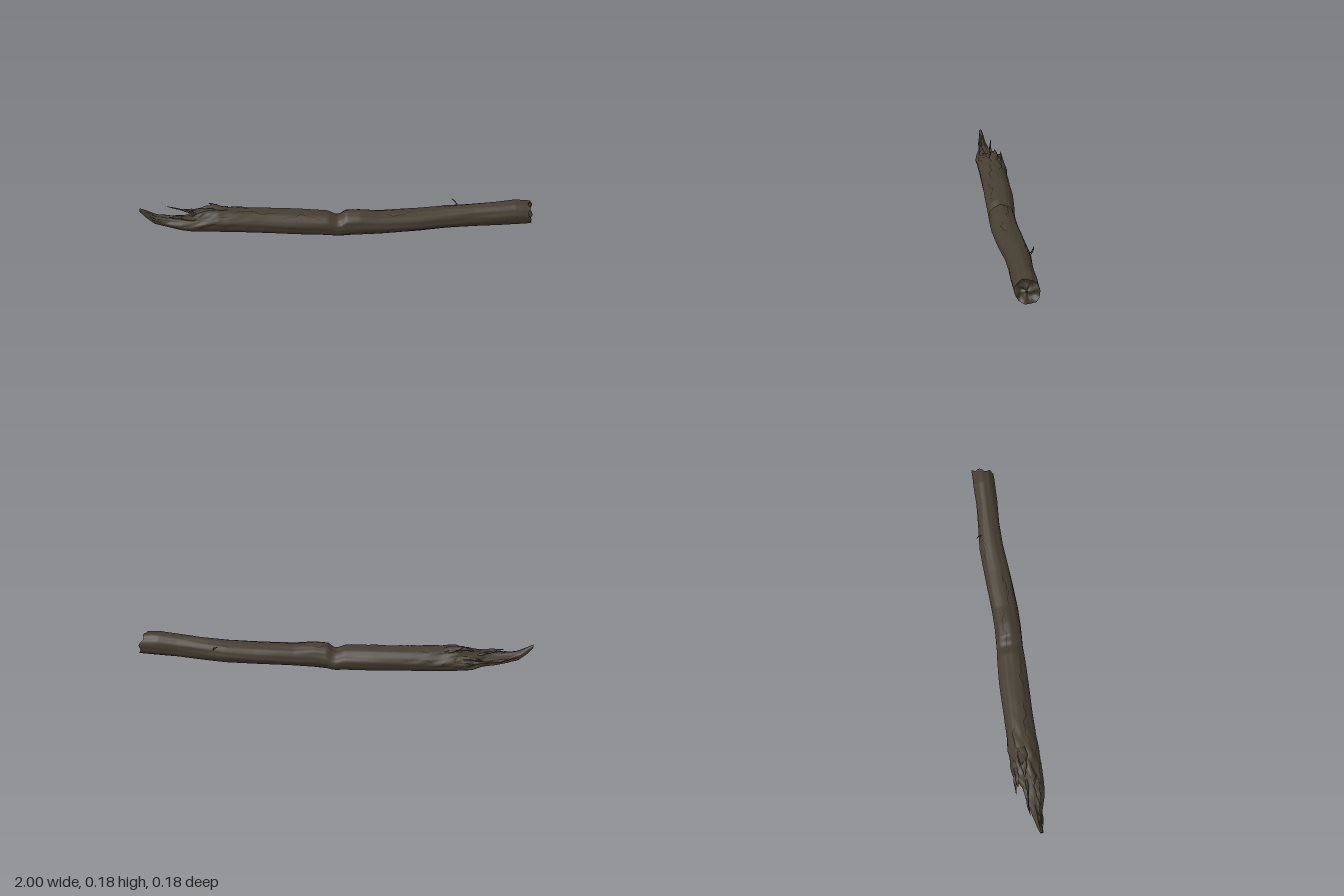
import * as THREE from 'three';

// Log profile: x, bottom y, top y, back z, front z
const PROFILE = [
  [-1.0, 0.172, 0.19, -0.004, 0.012], [-0.97, 0.135, 0.175, -0.012, 0.014], [-0.93, 0.1, 0.15, -0.018, 0.02],
  [-0.87, 0.083, 0.138, -0.028, 0.03], [-0.8, 0.068, 0.135, -0.04, 0.052], [-0.74, 0.058, 0.137, -0.05, 0.06],
  [-0.69, 0.05, 0.152, -0.082, 0.061], [-0.62, 0.044, 0.165, -0.088, 0.063], [-0.5, 0.037, 0.157, -0.085, 0.064],
  [-0.36, 0.028, 0.148, -0.08, 0.066], [-0.2, 0.017, 0.142, -0.075, 0.071], [-0.06, 0.01, 0.134, -0.064, 0.076],
  [-0.015, 0.006, 0.112, -0.059, 0.077], [0.005, 0.006, 0.115, -0.058, 0.078], [0.03, 0.009, 0.138, -0.056, 0.08],
  [0.1, 0.013, 0.14, -0.052, 0.084], [0.2, 0.016, 0.127, -0.051, 0.085], [0.4, 0.02, 0.13, -0.055, 0.076],
  [0.55, 0.026, 0.137, -0.06, 0.065], [0.68, 0.031, 0.145, -0.05, 0.065], [0.8, 0.035, 0.155, -0.041, 0.073],
  [0.9, 0.038, 0.166, -0.039, 0.075], [0.96, 0.04, 0.164, -0.036, 0.076], [1.0, 0.042, 0.16, -0.036, 0.076],
];

function sample(x) {
  let i = 0;
  while (i < PROFILE.length - 2 && PROFILE[i + 1][0] < x) i++;
  const p = PROFILE[i], q = PROFILE[i + 1];
  const t = THREE.MathUtils.clamp((x - p[0]) / (q[0] - p[0]), 0, 1);
  return p.map((v, k) => v + (q[k] - v) * t);
}

// Point on the bark; angle 0 is the top, a quarter turn is the front
function barkPoint(x, a, grow = 0) {
  const decay = THREE.MathUtils.smoothstep(-x, 0.3, 0.75) * THREE.MathUtils.smoothstep(x, -1, -0.85);
  const upper = 0.5 + 0.5 * Math.cos(a + 0.4);
  const ragged = decay * upper * 0.025 * Math.sin(5 * a + 1.3 * Math.sin(3 * a));
  const [, y0, y1, z0, z1] = sample(x + ragged);
  const grain = 0.018 * Math.sin(7 * a + 3 * x + Math.sin(9 * x)) + 0.012 * Math.sin(13 * a - 5 * x);
  const rot = decay * upper * (0.07 * Math.sin(9 * a + 14 * x) * Math.sin(31 * x + 2 * a) + 0.04 * Math.sin(53 * x + 5 * a));
  const lumps = 0.025 * Math.sin(11 * x + 2 * a) * upper;
  const r = 0.985 + grain + rot + lumps;
  const y = (y0 + y1) / 2 + Math.cos(a) * ((y1 - y0) / 2 * r + grow);
  const z = (z0 + z1) / 2 + Math.sin(a) * ((z1 - z0) / 2 * r + grow);
  // The broken right end slants, reaching furthest at the low back
  const end = THREE.MathUtils.smoothstep(x, 0.85, 1);
  const cut = 0.022 + 0.25 * (z + 0.036) + 0.2 * Math.max(0, y - 0.08) + 0.006 * Math.sin(6 * a);
  return new THREE.Vector3(x - end * cut + end * 0.018, y, z);
}

// Skin a grid of points, rows along the length and columns around
function grid(rows, cols, fn) {
  const pos = [], idx = [];
  for (let i = 0; i <= rows; i++) {
    for (let j = 0; j < cols; j++) pos.push(...fn(i / rows, j / cols * Math.PI * 2).toArray());
  }
  for (let i = 0; i < rows; i++) {
    for (let j = 0; j < cols; j++) {
      const a = i * cols + j, b = i * cols + (j + 1) % cols;
      idx.push(a, b, a + cols, b, b + cols, a + cols);
    }
  }
  const g = new THREE.BufferGeometry();
  g.setAttribute('position', new THREE.Float32BufferAttribute(pos, 3));
  g.setIndex(idx);
  g.computeVertexNormals();
  return g;
}

// Flattened tapering splinter following a few points
function splinter(points, width, thick) {
  const curve = new THREE.CatmullRomCurve3(points.map((p) => new THREE.Vector3(...p)));
  return grid(12, 8, (t, a) => {
    const c = curve.getPoint(t);
    const s = (1 - t) ** 0.6 * (1 + 0.2 * Math.sin(17 * t + 2 * a));
    // all splinters run towards -x, so the turn is reversed
    c.y += Math.cos(a) * thick * s;
    c.z -= Math.sin(a) * width * s;
    return c;
  });
}

// Thin wavy crack laid on the bark
function crack(x0, x1, angle, width) {
  const pos = [], idx = [], n = 24;
  for (let i = 0; i <= n; i++) {
    const t = i / n, x = x0 + (x1 - x0) * t;
    const a = angle + 0.12 * Math.sin(9 * t + 20 * x0) + 0.06 * Math.sin(23 * t);
    const w = width * Math.sin(Math.PI * t) + 0.005;
    pos.push(...barkPoint(x, a - w, 0.0015).toArray(), ...barkPoint(x, a + w, 0.0015).toArray());
    if (i < n) idx.push(2 * i, 2 * i + 1, 2 * i + 2, 2 * i + 1, 2 * i + 3, 2 * i + 2);
  }
  const g = new THREE.BufferGeometry();
  g.setAttribute('position', new THREE.Float32BufferAttribute(pos, 3));
  g.setIndex(idx);
  g.computeVertexNormals();
  return g;
}

export function createModel() {
  const model = new THREE.Group();
  model.name = 'fallenLog';
  const bark = new THREE.MeshStandardMaterial({ color: 0x453d31 });
  bark.name = 'bark brown';
  const dark = new THREE.MeshStandardMaterial({ color: 0x2b261f, side: THREE.DoubleSide });
  dark.name = 'crack brown';
  const add = (name, geometry, material = bark) => {
    const mesh = new THREE.Mesh(geometry, material);
    mesh.name = name;
    model.add(mesh);
  };

  // Trunk and its two ends
  add('trunk', grid(240, 56, (t, a) => barkPoint(-1 + 2 * t, a)));
  add('brokenEnd', grid(10, 56, (t, a) => {
    const p = barkPoint(1, a), c = new THREE.Vector3(0.965, 0.1, 0.02);
    p.lerp(c, t);
    p.x -= 0.012 * Math.sin(Math.PI * t) * (0.6 + 0.5 * Math.sin(3 * a + 5 * t));
    return p;
  }));
  add('tipEnd', grid(2, 56, (t, a) => new THREE.Vector3(-1, 0.181, 0.004).lerp(barkPoint(-1, a), t)));

  // Splinters at the rotten end: path, half width, half thickness
  [
    [[[-0.6, 0.115, -0.07], [-0.7, 0.118, -0.078], [-0.79, 0.128, -0.084]], 0.012, 0.016],
    [[[-0.62, 0.13, -0.055], [-0.7, 0.135, -0.065], [-0.75, 0.125, -0.07]], 0.015, 0.012],
    [[[-0.72, 0.13, -0.025], [-0.79, 0.155, -0.028], [-0.875, 0.174, -0.04]], 0.007, 0.007],
    [[[-0.56, 0.15, -0.02], [-0.64, 0.169, -0.025], [-0.71, 0.158, -0.03]], 0.024, 0.014],
    [[[-0.58, 0.15, -0.03], [-0.63, 0.172, -0.035], [-0.66, 0.187, -0.036]], 0.018, 0.01],
    [[[-0.7, 0.125, 0.02], [-0.79, 0.137, 0.022], [-0.86, 0.145, 0.024]], 0.018, 0.009],
    [[[-0.76, 0.1, -0.025], [-0.83, 0.11, -0.035], [-0.9, 0.125, -0.033]], 0.01, 0.014],
    [[[-0.84, 0.11, 0.015], [-0.91, 0.125, 0.022], [-0.96, 0.15, 0.018]], 0.008, 0.012],
  ].forEach(([path, w, h], i) => add('splinter' + (i + 1), splinter(path, w, h)));

  // Small twig stub on the back
  add('twigStub', splinter([[0.61, 0.115, -0.045], [0.6, 0.13, -0.06], [0.58, 0.145, -0.07]], 0.006, 0.007));

  // Cracks along the upper side
  [
    [-0.84, -0.62, 0.3, 0.07], [-0.8, -0.55, 0.9, 0.05], [-0.68, -0.42, -0.5, 0.06], [-0.55, -0.3, 0.35, 0.04],
    [-0.66, -0.45, -1.3, 0.05], [-0.3, -0.08, 0.6, 0.03], [-0.03, 0.18, -0.3, 0.04], [0.2, 0.4, 0.4, 0.03],
    [0.45, 0.62, -0.7, 0.03], [-0.76, -0.6, 1.5, 0.04],
  ].forEach((c, i) => add('crack' + (i + 1), crack(...c), dark));

  return model;
}
